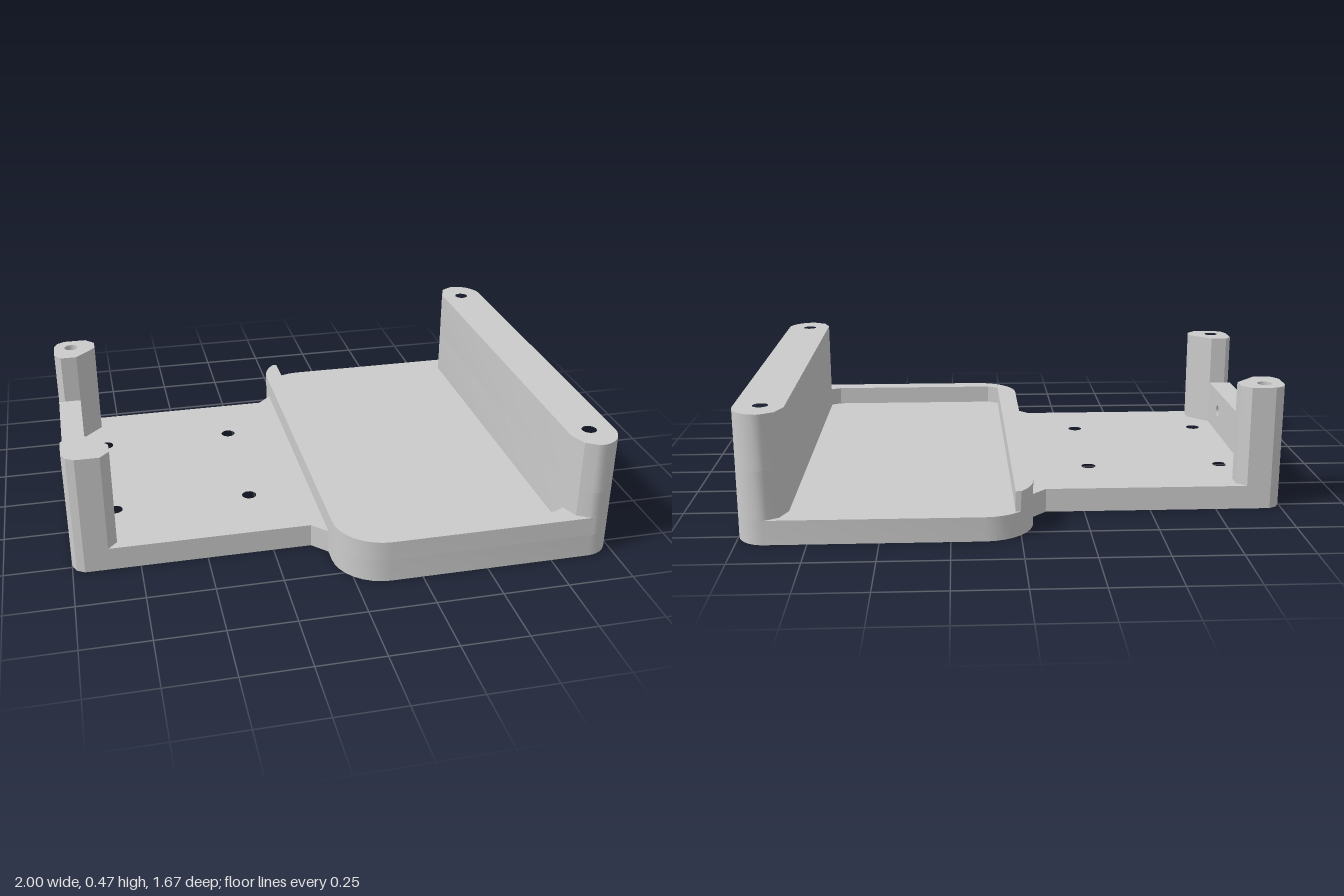
import * as THREE from 'three';
import { toCreasedNormals } from 'three/addons/utils/BufferGeometryUtils.js';

const material = new THREE.MeshStandardMaterial({ color: 0xcccccc });
const FLOOR = 0.09, RIM = 0.165, TOP = 0.47, HALF = 0.835, HOLE = 0.028;

// Extrude an outline of [a, b] points with round holes [a, b, radius]
function extrude(points, depth, holes = []) {
  const shape = new THREE.Shape(points.map(([a, b]) => new THREE.Vector2(a, b)));
  for (const [a, b, r] of holes) {
    shape.holes.push(new THREE.Path().absarc(a, b, r, 0, Math.PI * 2, true));
  }
  return new THREE.ExtrudeGeometry(shape, { depth, bevelEnabled: false, curveSegments: 10 });
}

function addMesh(group, name, geometry) {
  const mesh = new THREE.Mesh(toCreasedNormals(geometry, 0.5), material);
  mesh.name = name;
  group.add(mesh);
}

// Upright slab from y0 to y1 with its outline given in plan as [x, z]
function addSlab(group, name, plan, y0, y1, holes = []) {
  const geometry = extrude(plan.map(([x, z]) => [x, -z]), y1 - y0,
    holes.map(([x, z, r]) => [x, -z, r]));
  geometry.rotateX(-Math.PI / 2).translate(0, y0, 0);
  addMesh(group, name, geometry);
}

// Elliptical corner in plan, angles in degrees
function arc(cx, cz, rx, rz, from, to, steps = 8) {
  return Array.from({ length: steps + 1 }, (_, i) => {
    const t = THREE.MathUtils.degToRad(from + (to - from) * i / steps);
    return [cx + rx * Math.cos(t), cz + rz * Math.sin(t)];
  });
}

const mirrored = (points) => points.map(([x, z]) => [x, -z]).reverse();

export function createModel() {
  const group = new THREE.Group();

  // Base plate: wide tray, narrow neck, notch for the end wall
  const frontEdge = [
    ...arc(0.9, HALF - 0.11, 0.1, 0.11, 0, 90),
    ...arc(0.13, HALF - 0.18, 0.18, 0.18, 90, 180),
    [-0.05, 0.6], [-0.105, 0.543], [-0.955, 0.543], [-0.985, 0.525], [-1, 0.49],
    [-1, 0.365], [-0.91, 0.365],
  ];
  const plateHoles = [];
  for (const x of [-0.82, -0.295]) for (const z of [-0.27, 0.27]) plateHoles.push([x, z, HOLE]);
  addSlab(group, 'basePlate', [...frontEdge, ...mirrored(frontEdge)], 0, FLOOR, plateHoles);

  // Raised lip on the inner and front sides, open at the back
  addSlab(group, 'trayLip', [
    [0.91, HALF],
    ...arc(0.13, HALF - 0.18, 0.18, 0.18, 90, 180),
    ...arc(0.13, -HALF + 0.18, 0.18, 0.18, 180, 224, 5),
    [0.02, -0.78], [0.03, 0.735], [0.075, 0.762], [0.78, 0.762], [0.82, 0.74], [0.87, 0.76],
  ], FLOOR, RIM);

  // Tall side wall with screw holes in its top
  const wallEnd = [
    ...arc(0.9, HALF - 0.11, 0.1, 0.11, 0, 90),
    [0.885, 0.83], [0.845, 0.805], [0.82, 0.74],
  ];
  const wallPlan = [...wallEnd, ...mirrored(wallEnd)];
  addSlab(group, 'sideWall', wallPlan, FLOOR, 0.27);
  addSlab(group, 'sideWallTop', wallPlan, 0.27, TOP, [[0.905, 0.71, HOLE], [0.905, -0.71, HOLE]]);

  // Corner posts with blind screw holes
  for (const s of [1, -1]) {
    const plan = [
      [-0.91, 0.365], [-0.83, 0.45], [-0.83, 0.505], [-0.865, 0.543], [-0.955, 0.543],
      [-0.985, 0.525], [-1, 0.49], [-1, 0.4], [-0.975, 0.365],
    ].map(([x, z]) => [x, s * z]);
    const side = s > 0 ? 'front' : 'back';
    addSlab(group, side + 'Post', plan, FLOOR, 0.27);
    addSlab(group, side + 'PostTop', plan, 0.27, TOP, [[-0.928, s * 0.473, HOLE]]);
  }

  // Low end wall between the posts, pierced sideways
  const wallHoles = [];
  for (const s of [1, -1]) wallHoles.push([s * 0.19, 0.185, 0.024], [s * 0.335, 0.055, 0.022]);
  const endWall = extrude([[-0.365, 0], [0.365, 0], [0.365, 0.27], [-0.365, 0.27]], 0.09, wallHoles);
  endWall.rotateY(Math.PI / 2).translate(-1, 0, 0);
  addMesh(group, 'endWall', endWall);

  return group;
}
